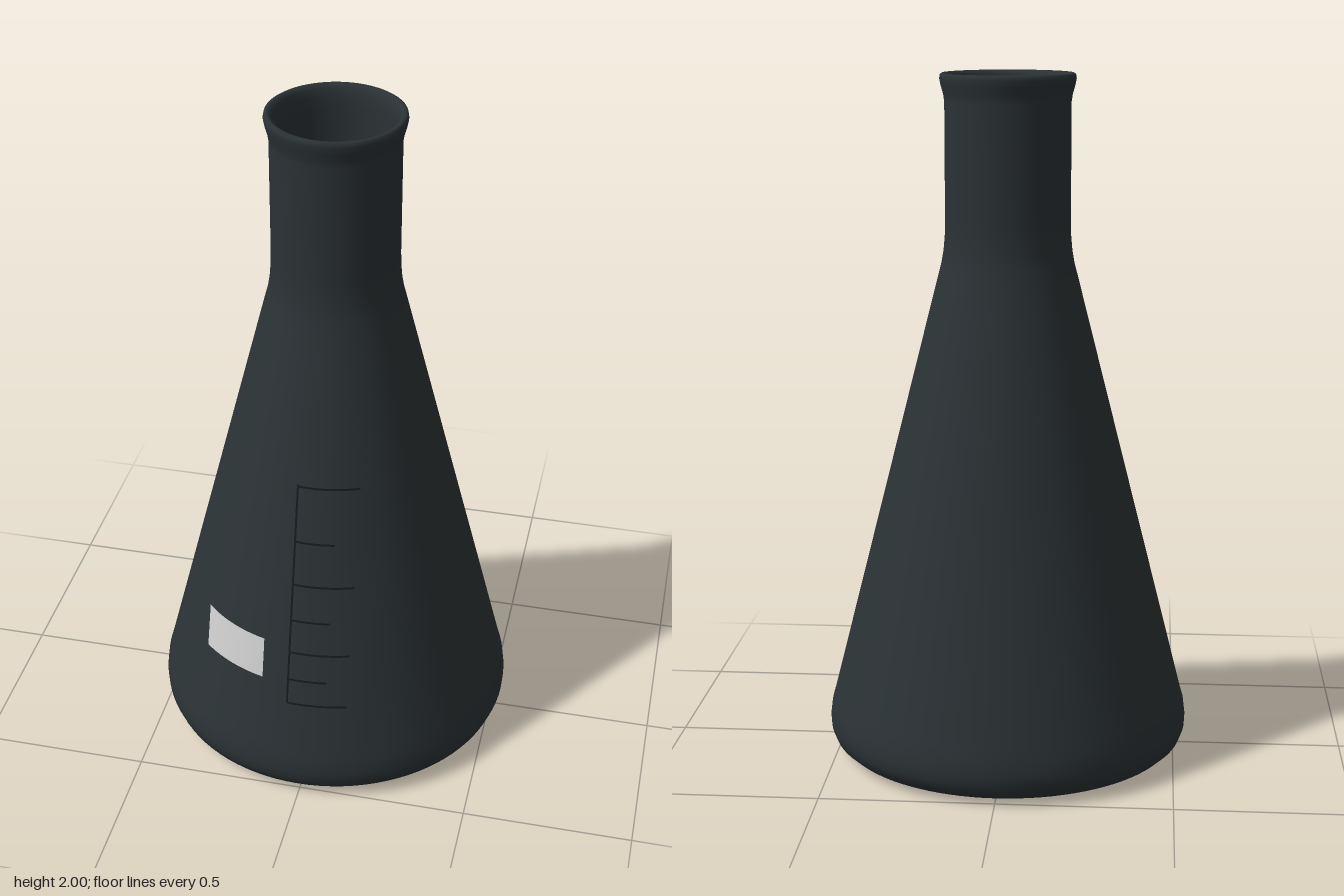
import * as THREE from 'three';

const glass = new THREE.MeshStandardMaterial({ color: 0x2b3235, side: THREE.DoubleSide });
const white = new THREE.MeshStandardMaterial({ color: 0xcccccc, side: THREE.DoubleSide });
const ink = new THREE.MeshStandardMaterial({ color: 0x161a1c, side: THREE.DoubleSide });

// Radius of the conical wall at height y
const coneRadius = (y) => THREE.MathUtils.mapLinear(y, 0.17, 1.46, 0.52, 0.192);

// Rectangle in x and y, wrapped onto the front of the cone
function wrappedPatch(name, x0, x1, y0, y1, material) {
  const geo = new THREE.PlaneGeometry(x1 - x0, y1 - y0, 12, 4);
  geo.translate((x0 + x1) / 2, (y0 + y1) / 2, 0);
  const p = geo.attributes.position;
  for (let i = 0; i < p.count; i++) {
    const r = coneRadius(p.getY(i)) + 0.003;
    p.setZ(i, Math.sqrt(r * r - p.getX(i) ** 2));
  }
  geo.computeVertexNormals();
  const mesh = new THREE.Mesh(geo, material);
  mesh.name = name;
  return mesh;
}

export function createModel() {
  const flask = new THREE.Group();
  flask.name = 'conicalFlask';

  // Closed wall profile: underside, outer wall, lip, inner wall, inner floor
  const profile = [
    [0, 0.005], [0.38, 0.005], [0.42, 0], [0.47, 0.006], [0.5, 0.017], [0.522, 0.037],
    [0.533, 0.065], [0.535, 0.095], [0.53, 0.135], [0.52, 0.17],
    [0.356, 0.815], [0.205, 1.41], [0.192, 1.46], [0.186, 1.495], [0.182, 1.54],
    [0.181, 1.58], [0.181, 1.92], [0.184, 1.94], [0.191, 1.965], [0.195, 1.985],
    [0.193, 1.996], [0.187, 2], [0.179, 1.998], [0.172, 1.988], [0.167, 1.965],
    [0.166, 1.93], [0.166, 1.54], [0.176, 1.46], [0.19, 1.4], [0.504, 0.17],
    [0.517, 0.1], [0.51, 0.055], [0.48, 0.03], [0.42, 0.02], [0, 0.02],
  ].map(([r, y]) => new THREE.Vector2(r, y));
  const body = new THREE.Mesh(new THREE.LatheGeometry(profile, 96), glass);
  body.name = 'glassBody';
  flask.add(body);

  // Blank writing patch
  flask.add(wrappedPatch('writingPatch', -0.315, -0.12, 0.38, 0.5, white));

  // Graduation scale: one upright line, long and short ticks
  const scale = new THREE.Group();
  scale.name = 'graduationScale';
  const t = 0.003;
  scale.add(wrappedPatch('scaleLine', -0.04 - t, -0.04 + t, 0.32, 0.99, ink));
  for (const y of [0.32, 0.48, 0.69, 0.985])
    scale.add(wrappedPatch('longTick', -0.04, 0.135, y - t, y + t, ink));
  for (const y of [0.395, 0.58, 0.82])
    scale.add(wrappedPatch('shortTick', -0.04, 0.075, y - t, y + t, ink));
  flask.add(scale);

  return flask;
}
